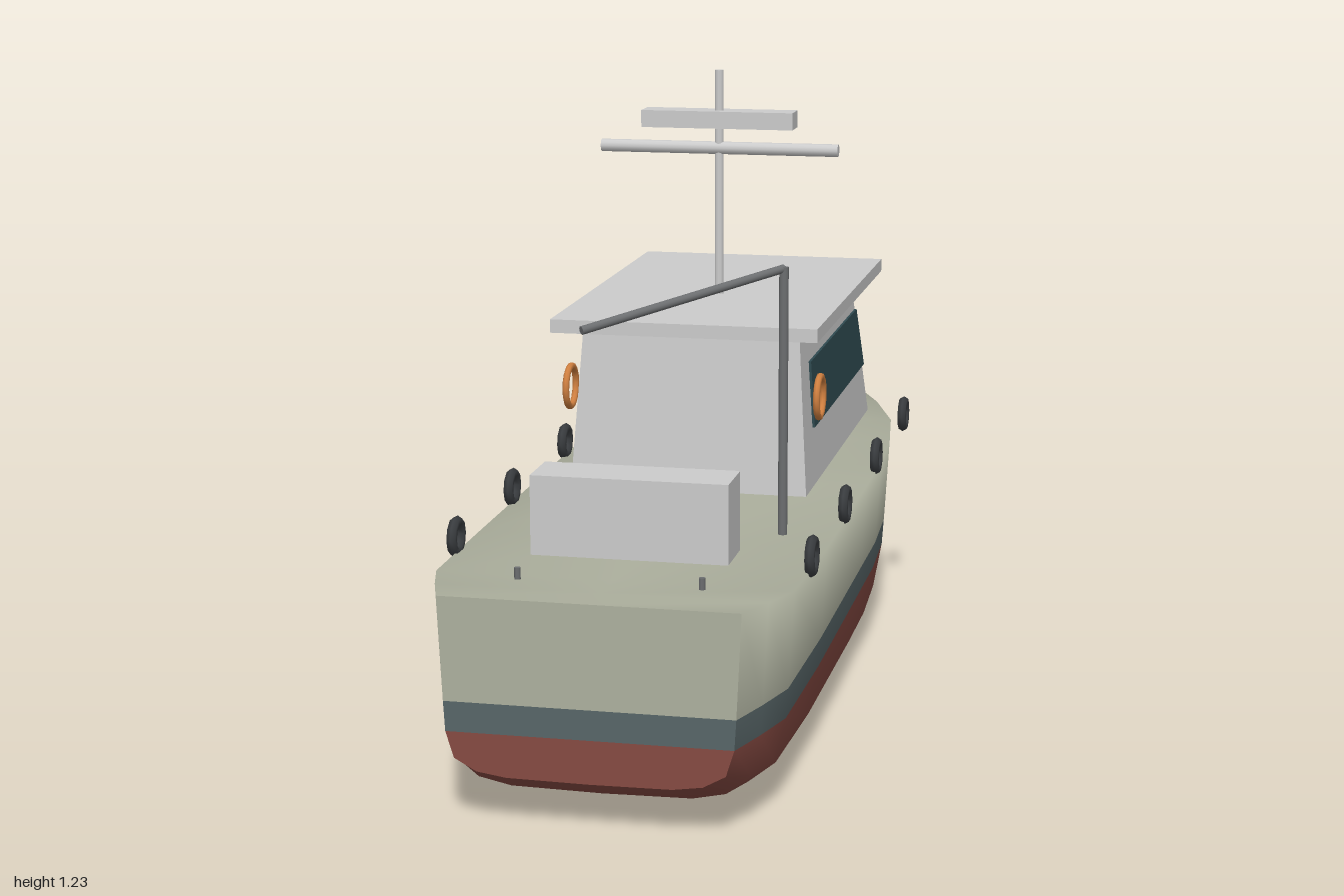
import * as THREE from 'three';

const mat = (color, extra = {}) => new THREE.MeshStandardMaterial({ color, ...extra });
const GREY = mat(0xcccccc), GLASS = mat(0x2f4a50), STEEL = mat(0x6c6e70), RUBBER = mat(0x3a3d40);
const ORANGE = mat(0xd08040), RED = mat(0x864a42), STRIPE = mat(0x586668), GREEN = mat(0xadb09e);

function add(parent, name, geometry, material, x = 0, y = 0, z = 0) {
  const mesh = new THREE.Mesh(geometry, material);
  mesh.name = name;
  mesh.position.set(x, y, z);
  parent.add(mesh);
  return mesh;
}

// Box between two heights with its own [x0, x1, z0, z1] rectangle at each
function taperedBox(parent, name, material, y0, y1, bottom, top) {
  const geo = new THREE.BoxGeometry(1, 1, 1).toNonIndexed();
  const p = geo.attributes.position;
  for (let i = 0; i < p.count; i++) {
    const up = p.getY(i) > 0, r = up ? top : bottom;
    p.setXYZ(i, p.getX(i) < 0 ? r[0] : r[1], up ? y1 : y0, p.getZ(i) < 0 ? r[2] : r[3]);
  }
  geo.computeVertexNormals();
  return add(parent, name, geo, material);
}

// Cylinder from point a to point b
function rod(parent, name, material, a, b, radius, sides = 12) {
  const from = new THREE.Vector3(...a), to = new THREE.Vector3(...b);
  const dir = to.clone().sub(from);
  const mesh = add(parent, name, new THREE.CylinderGeometry(radius, radius, dir.length(), sides), material);
  mesh.position.copy(from).add(to).multiplyScalar(0.5);
  mesh.quaternion.setFromUnitVectors(new THREE.Vector3(0, 1, 0), dir.normalize());
  return mesh;
}

// Hull stations, stern to bow: [z, half beam, keel height, deck height]
const STATIONS = [
  [1, 0.27, 0.09, 0.415], [0.91, 0.3, 0.042, 0.41], [0.81, 0.328, 0.03, 0.405], [0.5, 0.335, 0.012, 0.4],
  [0, 0.335, 0, 0.4], [-0.2, 0.335, 0.003, 0.4], [-0.4, 0.325, 0.008, 0.402], [-0.58, 0.302, 0.015, 0.408],
  [-0.72, 0.25, 0.022, 0.418], [-0.82, 0.19, 0.03, 0.43], [-0.9, 0.118, 0.04, 0.44],
  [-0.96, 0.055, 0.068, 0.448], [-1, 0, 0.1, 0.455],
];
const WATERLINE = 0.17, STRIPE_TOP = 0.225;

// Half section from keel to deck centre
function halfSection([, w, keel, deck]) {
  const bilge = [[0, 0], [0.55, 0.02], [0.75, 0.12], [0.9, 0.4], [0.955, 1]];
  return [
    ...bilge.map(([u, v]) => [u * w, keel + v * (WATERLINE - keel)]),
    [0.967 * w, STRIPE_TOP], [w, deck], [0, deck],
  ];
}

function buildHull(parent) {
  const hull = new THREE.Group();
  hull.name = 'hull';
  parent.add(hull);
  const names = ['hullBottom', 'hullStripe', 'hullTopsidesAndDeck'];
  const paints = [RED, STRIPE, GREEN];
  const bandOf = (seg) => (seg < 4 ? 0 : seg === 4 ? 1 : 2);
  const N = 14, positions = [], bands = [[], [], []];

  // Smooth closed loft through the stations
  STATIONS.forEach((st, s) => {
    const half = halfSection(st);
    for (let k = 0; k < N; k++) {
      const [x, y] = half[k <= 7 ? k : N - k];
      positions.push(k <= 7 ? x : -x, y, st[0]);
      if (s === STATIONS.length - 1) continue;
      const a = s * N + k, b = s * N + (k + 1) % N, c = b + N, d = a + N;
      bands[bandOf(k < 7 ? k : 13 - k)].push(a, d, b, b, d, c);
    }
  });
  const loft = new THREE.BufferGeometry();
  loft.setAttribute('position', new THREE.Float32BufferAttribute(positions, 3));
  loft.setIndex(bands.flat());
  loft.computeVertexNormals();
  bands.forEach((index, i) => {
    const geo = new THREE.BufferGeometry();
    geo.setAttribute('position', loft.attributes.position);
    geo.setAttribute('normal', loft.attributes.normal);
    geo.setIndex(index);
    add(hull, names[i], geo, paints[i]);
  });

  // Flat transom, one outline per paint band
  const stern = halfSection(STATIONS[0]);
  [[0, 4], [4, 5], [5, 6]].forEach(([from, to], i) => {
    const side = stern.slice(from, to + 1);
    const outline = [...side, ...side.map(([x, y]) => [-x, y]).reverse()];
    const shape = new THREE.Shape(outline.map(([x, y]) => new THREE.Vector2(x, y)));
    add(hull, 'transom' + (i + 1), new THREE.ShapeGeometry(shape), paints[i], 0, 0, STATIONS[0][0]);
  });
}

function buildCabin(parent) {
  const cabin = new THREE.Group();
  cabin.name = 'cabin';
  parent.add(cabin);
  const y0 = 0.415, y1 = 0.72;
  taperedBox(cabin, 'cabinWalls', GREY, y0, y1, [-0.24, 0.24, -0.645, 0.18], [-0.22, 0.22, -0.515, 0.15]);
  add(cabin, 'roof', new THREE.BoxGeometry(0.535, 0.027, 0.865), GREY, 0, 0.748, -0.207);

  // Wall positions at a given height
  const wallX = (y) => 0.24 - 0.02 * (y - y0) / (y1 - y0);
  const wallZ = (y) => -0.645 + 0.13 * (y - y0) / (y1 - y0);
  const w0 = 0.53, w1 = 0.665;
  for (const s of [-1, 1]) {
    const rect = (y, z) => {
      const x = wallX(y), xs = [s * (x - 0.005), s * (x + 0.005)].sort((a, b) => a - b);
      return [...xs, z, 0.065];
    };
    taperedBox(cabin, s > 0 ? 'leftWindow' : 'rightWindow', GLASS, w0, w1, rect(w0, -0.595), rect(w1, -0.535));
  }
  for (let i = 0; i < 4; i++) {
    const x = (i - 1.5) * 0.09;
    const rect = (y) => [x - 0.04, x + 0.04, wallZ(y) - 0.006, wallZ(y) + 0.004];
    taperedBox(cabin, 'windscreenPane' + (i + 1), GLASS, w0, w1, rect(w0), rect(w1));
  }
  // Life rings beside the windows
  for (const s of [-1, 1]) {
    const ring = add(cabin, 'lifeRing', new THREE.TorusGeometry(0.041, 0.007, 8, 16), ORANGE, s * 0.255, 0.605, 0.115);
    ring.rotation.y = Math.PI / 2;
  }
}

export function createModel() {
  const boat = new THREE.Group();
  boat.name = 'workBoat';
  buildHull(boat);
  buildCabin(boat);

  // Mast with yard and radar bar
  rod(boat, 'mast', GREY, [0, 0.76, -0.135], [0, 1.225, -0.135], 0.009);
  rod(boat, 'yard', GREY, [-0.248, 1.065, -0.135], [0.248, 1.065, -0.135], 0.013);
  add(boat, 'radarBar', new THREE.BoxGeometry(0.315, 0.035, 0.06), GREY, 0, 1.125, -0.135);

  // Deck crane
  rod(boat, 'cranePost', STEEL, [0.235, 0.395, 0.415], [0.235, 0.914, 0.415], 0.009);
  rod(boat, 'craneBoom', STEEL, [0.235, 0.911, 0.415], [-0.085, 0.832, 0.69], 0.008);

  // Stern locker
  add(boat, 'sternLocker', new THREE.BoxGeometry(0.37, 0.15, 0.11), GREY, 0, 0.485, 0.635);

  // Tyre fenders and mooring bollards, mirrored
  for (const s of [-1, 1]) {
    for (const z of [0.665, 0.28, -0.135, -0.55]) {
      const tyre = add(boat, 'tyreFender', new THREE.TorusGeometry(0.029, 0.01, 6, 10), RUBBER, s * 0.334, 0.43, z);
      tyre.rotation.y = Math.PI / 2;
    }
    for (const z of [0.84, -0.725]) {
      rod(boat, 'bollard', STEEL, [s * 0.168, 0.395, z], [s * 0.168, 0.428, z], 0.006, 8);
    }
  }
  return boat;
}
